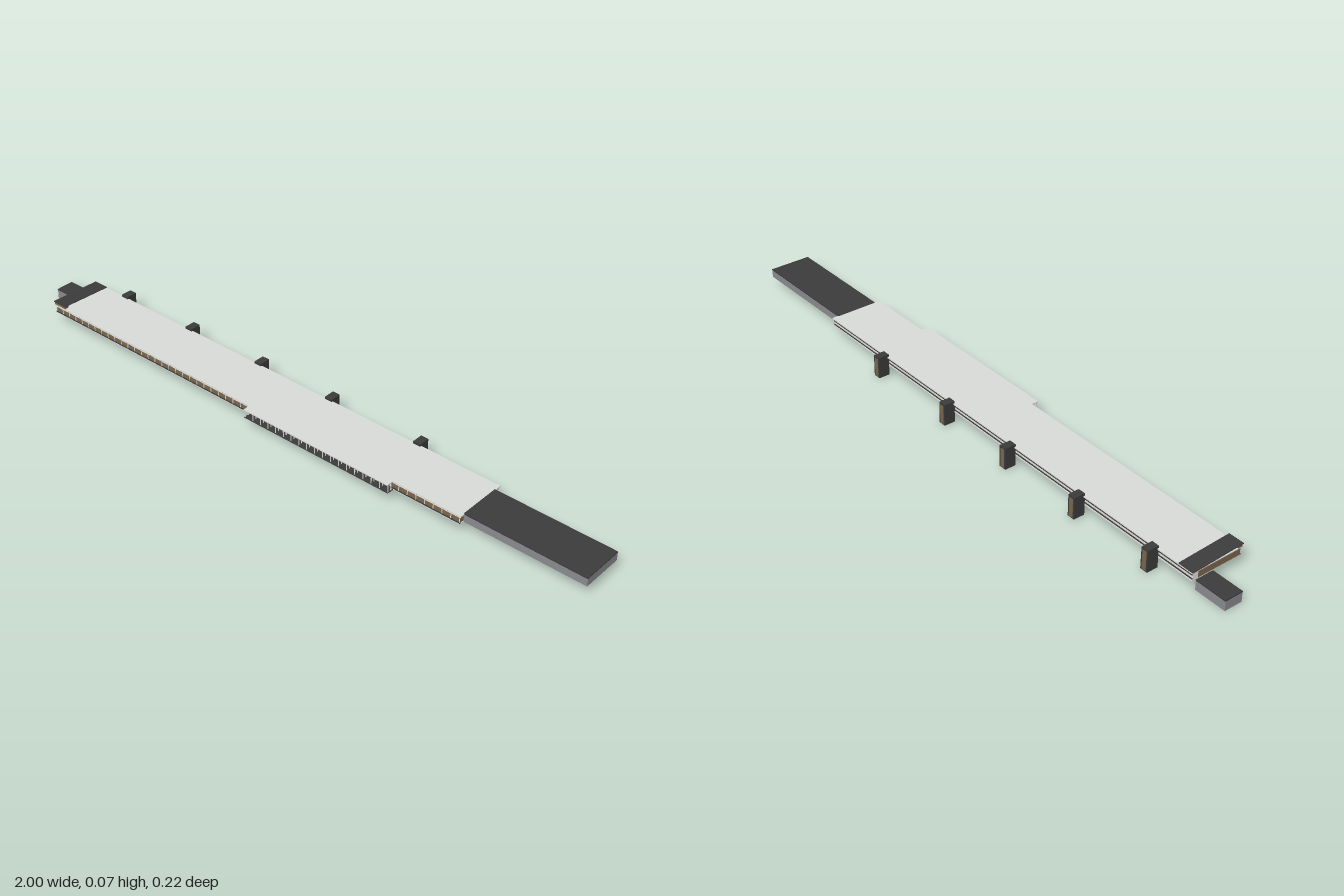
import * as THREE from 'three';

const mat = (name, color) => {
  const m = new THREE.MeshStandardMaterial({ color });
  m.name = name;
  return m;
};

export function createModel() {
  const model = new THREE.Group();
  model.name = 'longTerminal';
  const roofGrey = mat('roofGrey', 0xdadcda);
  const dark = mat('darkCladding', 0x3c3c3c);
  const wallGrey = mat('wallGrey', 0x8a8a90);
  const brown = mat('brownPanel', 0x7b674c);
  const light = mat('lightWall', 0xe6e3de);

  // Box given by its limits on each axis
  const box = (name, m, x0, x1, y0, y1, z0, z1, parent = model) => {
    const mesh = new THREE.Mesh(new THREE.BoxGeometry(x1 - x0, y1 - y0, z1 - z0), m);
    mesh.position.set((x0 + x1) / 2, (y0 + y1) / 2, (z0 + z1) / 2);
    mesh.name = name;
    parent.add(mesh);
    return mesh;
  };

  // Roofed shell that is open underneath, with a grey ceiling
  const shell = (name, x0, x1, y0, y1, z0, z1) => {
    const g = new THREE.Group();
    g.name = name;
    const t = 0.0012, top = y1 - 0.003;
    box('roof', dark, x0, x1, top, y1, z0 - 0.001, z1 + 0.001, g);
    box('ceiling', wallGrey, x0 + t, x1 - t, top - 0.001, top, z0 + t, z1 - t, g);
    box('frontWall', wallGrey, x0, x1, y0, top, z1 - t, z1, g);
    box('backWall', wallGrey, x0, x1, y0, top, z0, z0 + t, g);
    box('rightWall', wallGrey, x0, x0 + t, y0, top, z0 + t, z1 - t, g);
    box('leftWall', wallGrey, x1 - t, x1, y0, top, z0 + t, z1 - t, g);
    model.add(g);
  };
  shell('endExtension', 0.627, 1, 0.034, 0.061, -0.058, 0.073);
  shell('lowAnnex', -1, -0.9, 0, 0.032, -0.062, -0.006);

  // Main hall
  box('floor', roofGrey, -0.9, 0.627, 0.032, 0.035, -0.076, 0.088);
  box('hallBody', brown, -0.9, 0.625, 0.035, 0.057, -0.056, 0.086);
  box('hallRoof', roofGrey, -0.903, 0.63, 0.058, 0.061, -0.08, 0.09);
  box('roofEdge', dark, -0.901, 0.628, 0.0565, 0.058, -0.078, 0.088);

  // Back gallery with rails
  box('backGalleryWall', light, -0.9, 0.625, 0.035, 0.0565, -0.074, -0.056);
  for (const y of [0.039, 0.051])
    box('backRail', dark, -0.9, 0.627, y, y + 0.002, -0.077, -0.074);

  // Front window bays
  box('frontSill', dark, -0.9, 0.627, 0.035, 0.038, 0.086, 0.088);
  box('frontTransom', light, -0.9, 0.627, 0.0525, 0.054, 0.086, 0.087);
  const bays = 54;
  for (let i = 0; i <= bays; i++) {
    const x = -0.898 + (1.523 * i) / bays;
    box('frontMullion', light, x - 0.001, x + 0.001, 0.038, 0.0565, 0.086, 0.0875);
  }

  // Projecting open bay on the front
  box('porchRoof', roofGrey, -0.1, 0.41, 0.058, 0.061, 0.09, 0.112);
  box('porchFloor', dark, -0.1, 0.41, 0.032, 0.034, 0.088, 0.11);
  for (let i = 0; i <= 18; i++) {
    const x = -0.098 + (0.506 * i) / 18;
    for (const z of [0.095, 0.107])
      box('porchPost', light, x - 0.001, x + 0.001, 0.034, 0.058, z - 0.001, z + 0.001);
  }

  // Raised sloping canopy at the right-hand end
  const canopy = box('canopyRoof', dark, -0.905, -0.855, 0.0655, 0.0675, -0.08, 0.091);
  canopy.rotation.x = 0.045 * -1;
  box('canopyBlock', brown, -0.903, -0.857, 0.061, 0.0695, 0.075, 0.089);

  // Service towers along the back
  for (const x of [-0.77, -0.498, -0.22, 0.046, 0.358]) {
    const tower = new THREE.Group();
    tower.name = 'serviceTower';
    box('towerShaft', dark, x - 0.012, x + 0.012, 0.001, 0.068, -0.11, -0.075, tower);
    box('towerPanel', brown, x - 0.007, x + 0.007, 0.004, 0.062, -0.111, -0.11, tower);
    model.add(tower);
  }
  return model;
}
